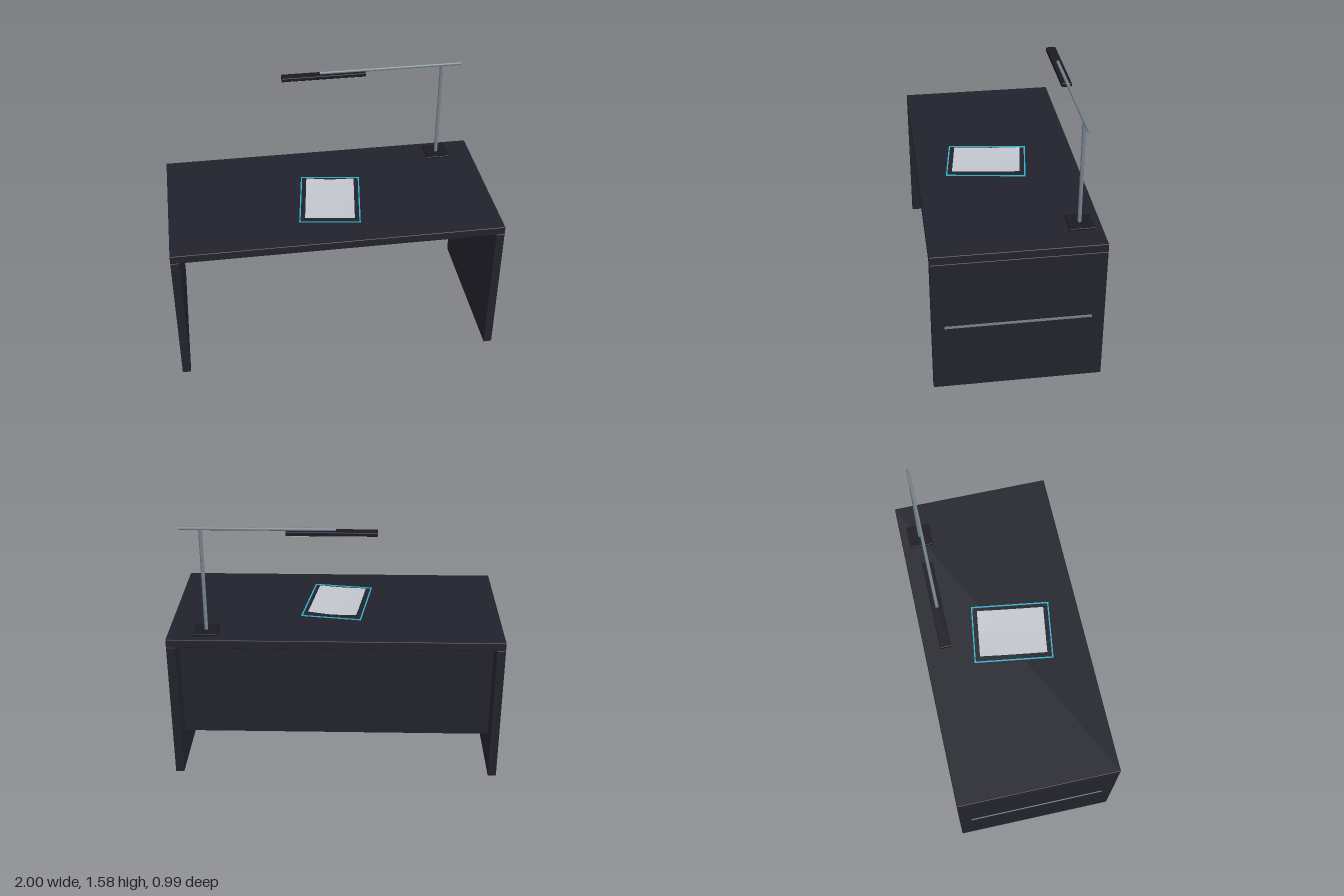
import * as THREE from 'three';
import { RoundedBoxGeometry } from 'three/addons/geometries/RoundedBoxGeometry.js';

const mat = (name, color, side = THREE.FrontSide) => {
  const m = new THREE.MeshStandardMaterial({ color, side });
  m.name = name;
  return m;
};

export function createModel() {
  const desk = new THREE.Group();
  desk.name = 'desk';
  const body = mat('darkBoard', 0x22222c);
  const black = mat('lampBlack', 0x1a1a22);
  const metal = mat('greyMetal', 0x75818b);
  const glow = mat('tealGlow', 0x30b2cc);
  const white = mat('paperWhite', 0xc2c5cc, THREE.DoubleSide);

  const add = (parent, name, geometry, material, x = 0, y = 0, z = 0) => {
    const mesh = new THREE.Mesh(geometry, material);
    mesh.name = name;
    mesh.position.set(x, y, z);
    parent.add(mesh);
    return mesh;
  };
  // Box given by its limits on each axis, with an optional softened edge
  const box = (parent, name, material, [x0, x1], [y0, y1], [z0, z1], r = 0) => {
    const size = [x1 - x0, y1 - y0, z1 - z0];
    const g = r ? new RoundedBoxGeometry(...size, 2, r) : new THREE.BoxGeometry(...size);
    return add(parent, name, g, material, (x0 + x1) / 2, (y0 + y1) / 2, (z0 + z1) / 2);
  };

  // Table top, back panel and the light strip under the top
  box(desk, 'tableTop', body, [-0.996, 0.996], [0.87, 0.922], [-0.496, 0.496], 0.004);
  box(desk, 'modestyPanel', body, [-0.945, 0.945], [0.22, 0.836], [-0.365, -0.337], 0.004);
  box(desk, 'underTopLightStrip', glow, [-0.87, 0.87], [0.861, 0.87], [0.445, 0.455]);

  // Side panels with their inlaid metal strips
  for (const s of [-1, 1]) {
    const side = new THREE.Group();
    side.name = s > 0 ? 'leftSide' : 'rightSide';
    desk.add(side);
    add(side, 'sidePanel', new RoundedBoxGeometry(0.052, 0.87, 0.992, 2, 0.004), body, s * 0.97, 0.435, 0);
    add(side, 'sideStrip', new THREE.BoxGeometry(0.008, 0.015, 0.844), metal, s * 0.996, 0.436, 0);
  }

  // Lamp: foot, post, boom and light bar
  const lamp = new THREE.Group();
  lamp.name = 'lamp';
  desk.add(lamp);
  const z = -0.375;
  box(lamp, 'lampFoot', black, [0.695, 0.845], [0.922, 0.936], [z - 0.073, z + 0.073], 0.003);
  add(lamp, 'lampPost', new THREE.CylinderGeometry(0.011, 0.011, 0.634, 16), metal, 0.77, 1.253, z);
  add(lamp, 'lampBoom', new THREE.CylinderGeometry(0.0095, 0.0095, 0.89, 16), metal, 0.445, 1.572, z)
    .rotation.z = Math.PI / 2;
  box(lamp, 'lampHead', black, [-0.239, 0.284], [1.541, 1.565], [z - 0.03, z + 0.03], 0.004);
  box(lamp, 'lampDiffuser', white, [-0.21, 0.256], [1.535, 1.542], [z - 0.018, z + 0.018]);

  // Turned sheet of paper inside a glowing outline
  const pad = new THREE.Group();
  pad.name = 'writingArea';
  pad.position.set(0, 0.922, 0.058);
  pad.rotation.y = -0.145;
  desk.add(pad);
  const w = 0.185, d = 0.243, t = 0.008;
  for (const s of [-1, 1]) {
    add(pad, 'outlineLong', new THREE.BoxGeometry(t, 0.004, 2 * d), glow, s * (w - t / 2), 0.002, 0);
    add(pad, 'outlineShort', new THREE.BoxGeometry(2 * (w - t), 0.004, t), glow, 0, 0.002, s * (d - t / 2));
  }

  // Paper rises gently towards its far corners
  const paper = new THREE.PlaneGeometry(0.3, 0.415, 12, 16);
  paper.rotateX(-Math.PI / 2);
  const p = paper.attributes.position;
  for (let i = 0; i < p.count; i++) {
    const u = Math.abs(p.getX(i)) / 0.15;
    const v = Math.max(0, -p.getZ(i) / 0.2075);
    p.setY(i, 0.008 + 0.003 * u * u + 0.006 * v * v * u);
  }
  paper.computeVertexNormals();
  add(pad, 'paperSheet', paper, white);

  return desk;
}
